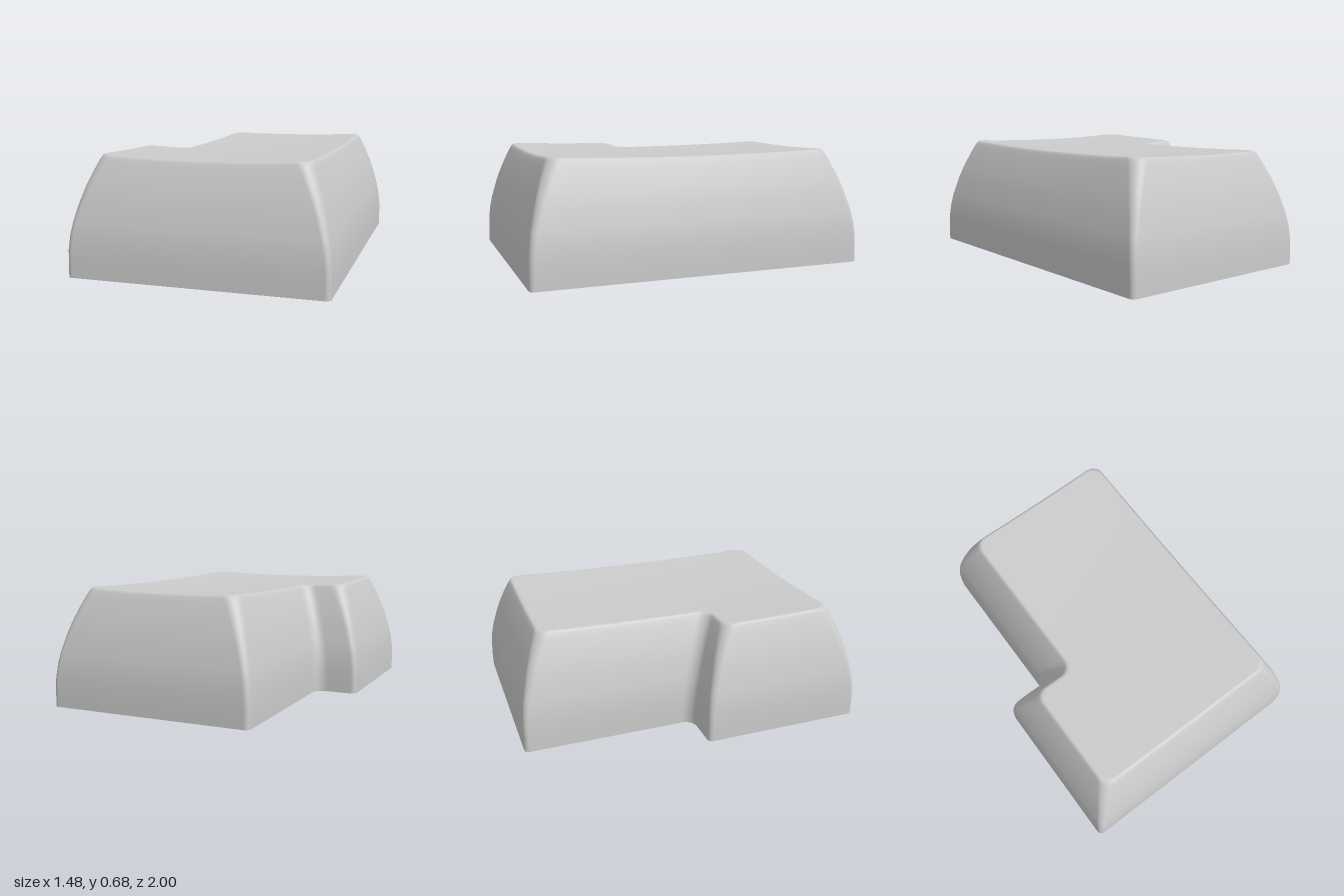
import * as THREE from 'three';

const HEIGHT = 0.683;
// L-shaped footprint (x, z), front edge first, running left to right
const CORNERS = [[-0.742, 1], [0.742, 1], [0.742, -1], [-0.485, -1], [-0.485, 0.03], [-0.742, 0.03]];
const NOTCH = 4; // the one concave corner
const ARC = 8, SIDE = 14;

// Rounded footprint, moved inwards by inset; always the same number of points
function outline(inset, radius) {
  const n = CORNERS.length;
  const dirs = CORNERS.map((p, i) => {
    const q = CORNERS[(i + 1) % n];
    return [Math.sign(q[0] - p[0]), Math.sign(q[1] - p[1])];
  });
  const arcs = CORNERS.map((p, i) => {
    const a = dirs[(i + n - 1) % n], b = dirs[i];
    const r = i === NOTCH ? 0.07 : radius;
    const cx = p[0] + inset * (a[1] + b[1]) + r * (b[0] - a[0]);
    const cz = p[1] - inset * (a[0] + b[0]) + r * (b[1] - a[1]);
    return Array.from({ length: ARC + 1 }, (_, k) => {
      const t = (k / ARC) * Math.PI / 2, c = Math.cos(t), s = Math.sin(t);
      return [cx + r * (a[0] * s - b[0] * c), cz + r * (a[1] * s - b[1] * c)];
    });
  });
  // Join the arcs with subdivided straight sides
  const points = [];
  arcs.forEach((arc, i) => {
    points.push(...arc);
    const p = arc[ARC], q = arcs[(i + 1) % n][0];
    for (let k = 1; k < SIDE; k++) {
      const t = k / SIDE;
      points.push([p[0] + (q[0] - p[0]) * t, p[1] + (q[1] - p[1]) * t]);
    }
  });
  return points;
}

// Shallow dish: corners stay high, the middle sinks
function dished(x, y, z) {
  const sink = 0.018 * (2 - Math.min(1, (x / 0.6) ** 2) - Math.min(1, (z / 0.85) ** 2));
  return y - sink * (y / HEIGHT) ** 2;
}

// Skin a list of closed rings of [x, y, z] points
function loft(rings) {
  const n = rings[0].length, index = [];
  for (let j = 0; j < rings.length - 1; j++) {
    for (let i = 0; i < n; i++) {
      const a = j * n + i, b = j * n + (i + 1) % n;
      index.push(a, b, b + n, a, b + n, a + n);
    }
  }
  const geometry = new THREE.BufferGeometry();
  geometry.setAttribute('position', new THREE.Float32BufferAttribute(rings.flat(2), 3));
  geometry.setIndex(index);
  geometry.computeVertexNormals();
  return geometry;
}

export function createModel() {
  const group = new THREE.Group();
  group.name = 'keycap';
  const material = new THREE.MeshStandardMaterial({ color: 0xcccccc });
  const add = (name, geometry) => {
    const mesh = new THREE.Mesh(geometry, material);
    mesh.name = name;
    group.add(mesh);
  };

  // Curved walls: [height, inset] from the base to the soft rim
  const profile = [[0, 0], [0.08, 0], [0.16, 0.002], [0.24, 0.01], [0.31, 0.022], [0.42, 0.049], [0.5, 0.073],
    [0.58, 0.102], [0.64, 0.126], [0.665, 0.137], [0.677, 0.144], [0.682, 0.152], [HEIGHT, 0.162]];
  const rings = profile.map(([y, inset]) =>
    outline(inset, 0.03 + 0.3 * inset).map(([x, z]) => [x, dished(x, y, z), z]));

  // Dished top: the rim shrinks towards a point that sees the whole L
  const hub = [0.12, 0.5], STEPS = 12;
  const rim = outline(0.162, 0.079);
  for (let k = 1; k <= STEPS; k++) {
    const t = k / STEPS;
    rings.push(rim.map(([px, pz]) => {
      const x = px + (hub[0] - px) * t, z = pz + (hub[1] - pz) * t;
      return [x, dished(x, HEIGHT, z), z];
    }));
  }
  add('shell', loft(rings));

  // Flat underside
  const base = outline(0, 0.03);
  add('underside', loft([base.map(() => [hub[0], 0, hub[1]]), base.map(([x, z]) => [x, 0, z])]));

  return group;
}
